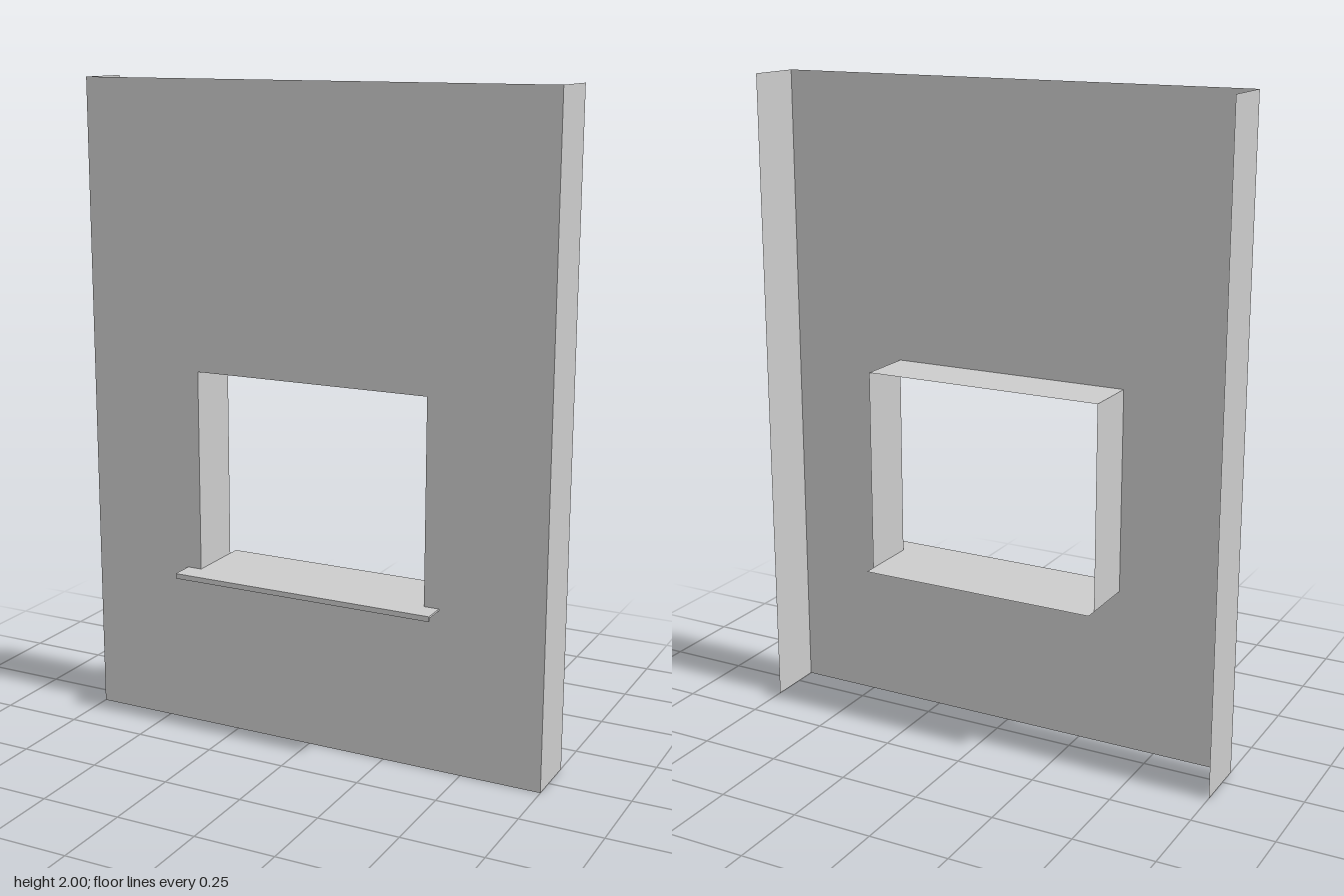
import * as THREE from 'three';

const material = new THREE.MeshStandardMaterial({ color: 0xcccccc, flatShading: true, side: THREE.DoubleSide });

const W = 0.75, H = 2;                       // wall half width and height
const FRONT = 0.07, BACK = -0.11;            // wall face and return depth
const OX = 0.377, OY0 = 0.506, OY1 = 1.131;  // window opening

function add(group, name, geometry, x = 0, y = 0, z = 0) {
  const mesh = new THREE.Mesh(geometry, material);
  mesh.name = name;
  mesh.position.set(x, y, z);
  group.add(mesh);
  return mesh;
}

// Sheet facing sideways, and sheet lying flat
const sideSheet = (depth, height) => new THREE.PlaneGeometry(depth, height).rotateY(Math.PI / 2);
const flatSheet = (width, depth) => new THREE.PlaneGeometry(width, depth).rotateX(-Math.PI / 2);

export function createModel() {
  const model = new THREE.Group();
  model.name = 'wallWithWindowOpening';
  const depth = FRONT - BACK, midZ = (FRONT + BACK) / 2;

  // Wall face with a rectangular opening
  const face = new THREE.Shape([[-W, 0], [W, 0], [W, H], [-W, H]].map(p => new THREE.Vector2(...p)));
  face.holes.push(new THREE.Path([[-OX, OY0], [-OX, OY1], [OX, OY1], [OX, OY0]].map(p => new THREE.Vector2(...p))));
  add(model, 'wallFace', new THREE.ShapeGeometry(face), 0, 0, FRONT);

  // Wall returns and window jambs, mirrored
  for (const [side, s] of [['left', 1], ['right', -1]]) {
    add(model, side + 'WallReturn', sideSheet(depth, H), s * W, H / 2, midZ);
    add(model, side + 'Jamb', sideSheet(depth, OY1 - OY0), s * OX, (OY0 + OY1) / 2, midZ);
  }

  // Head and sill of the opening; the sill runs on a little past the back
  add(model, 'windowHead', flatSheet(2 * OX, depth), 0, OY1, midZ);
  const sillBack = -0.147;
  add(model, 'innerSill', flatSheet(2 * OX, FRONT - sillBack), 0, OY0, (FRONT + sillBack) / 2);

  // Projecting outer sill with a turned-down drip edge
  const profile = new THREE.Shape([
    [FRONT, 0.506], [0.143, 0.506], [0.143, 0.49], [0.138, 0.49], [0.138, 0.5], [FRONT, 0.5],
  ].map(([z, y]) => new THREE.Vector2(-z, y)));
  const sill = new THREE.ExtrudeGeometry(profile, { depth: 0.848, bevelEnabled: false });
  sill.translate(0, 0, -0.424).rotateY(Math.PI / 2);
  add(model, 'outerSill', sill);

  return model;
}
